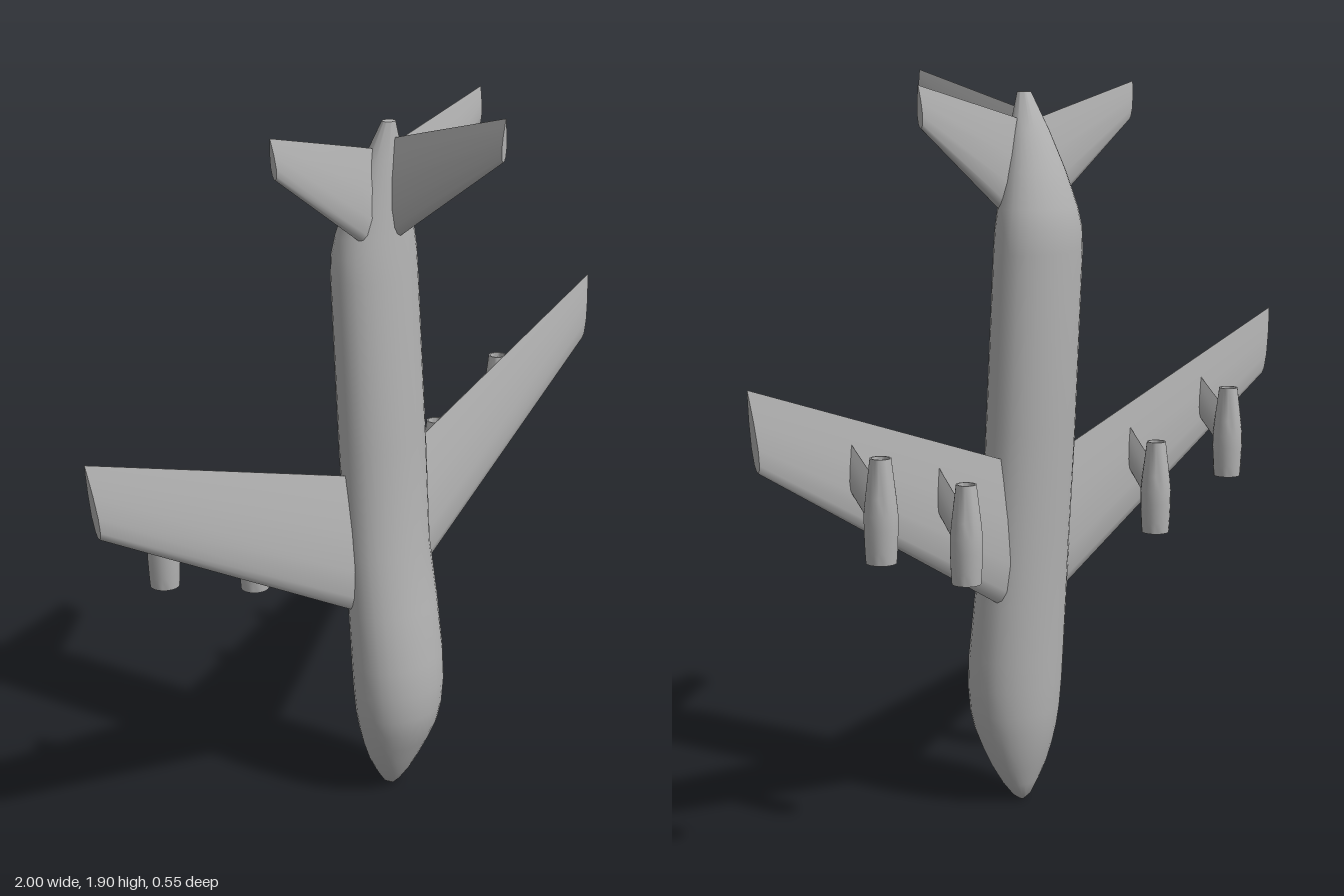
import * as THREE from 'three';
import { toCreasedNormals } from 'three/addons/utils/BufferGeometryUtils.js';

const V = (x, y, z) => new THREE.Vector3(x, y, z);

// Skin a closed solid over rings of equal point count, with flat end caps.
function loft(rings, crease = 0.7) {
  const n = rings[0].length;
  const pts = rings.flat();
  const idx = [];
  for (let r = 0; r < rings.length - 1; r++) {
    for (let i = 0; i < n; i++) {
      const a = r * n + i, b = r * n + (i + 1) % n;
      idx.push(a, b, b + n, a, b + n, a + n);
    }
  }
  // end caps as fans around the ring centres
  [0, rings.length - 1].forEach((r, end) => {
    const c = rings[r].reduce((s, p) => s.add(p), V(0, 0, 0)).divideScalar(n);
    pts.push(c);
    for (let i = 0; i < n; i++) {
      const a = r * n + i, b = r * n + (i + 1) % n;
      if (end) idx.push(a, b, pts.length - 1);
      else idx.push(b, a, pts.length - 1);
    }
  });
  // turn the faces outward if the solid came out inside out
  let volume = 0;
  for (let i = 0; i < idx.length; i += 3) {
    volume += pts[idx[i]].dot(V(0, 0, 0).crossVectors(pts[idx[i + 1]], pts[idx[i + 2]]));
  }
  if (volume < 0) idx.reverse();
  const g = new THREE.BufferGeometry().setFromPoints(pts);
  g.setIndex(idx);
  return toCreasedNormals(g, crease);
}

// Aerofoil ring from leading edge to trailing edge; `half` is the half thickness vector.
const FOIL = [[0.025, 0.42], [0.1, 0.78], [0.3, 1], [0.6, 0.75], [0.85, 0.33]];
function foil(le, te, half) {
  const at = (t, h) => le.clone().lerp(te, t).addScaledVector(half, h);
  return [
    at(0, 0), ...FOIL.map(([t, h]) => at(t, h)),
    at(1, 0.04), at(1, -0.04), ...FOIL.map(([t, h]) => at(t, -h)).reverse(),
  ];
}

export function createModel() {
  const model = new THREE.Group();
  model.name = 'airliner';
  const grey = new THREE.MeshStandardMaterial({ color: 0xb3b3b3 });
  grey.name = 'plainGrey';
  const add = (name, geometry, parent = model) => {
    const mesh = new THREE.Mesh(geometry, grey);
    mesh.name = name;
    parent.add(mesh);
    return mesh;
  };

  // Fuselage, nose down: [y, half width, z of the roof, z of the belly]
  const stations = [
    [0, 0.006, -0.07, -0.08], [0.015, 0.028, -0.055, -0.095], [0.05, 0.055, -0.03, -0.109],
    [0.1, 0.084, -0.003, -0.127], [0.15, 0.105, 0.022, -0.14], [0.2, 0.121, 0.044, -0.15],
    [0.25, 0.133, 0.054, -0.155], [0.32, 0.141, 0.058, -0.159], [0.4, 0.144, 0.052, -0.162],
    [0.55, 0.143, 0.031, -0.169], [0.71, 0.138, 0.004, -0.177], [1.0, 0.137, -0.007, -0.198],
    [1.45, 0.136, -0.033, -0.218], [1.51, 0.132, -0.036, -0.217], [1.56, 0.121, -0.04, -0.207],
    [1.65, 0.093, -0.045, -0.179], [1.75, 0.058, -0.052, -0.138], [1.845, 0.018, -0.06, -0.094],
  ];
  const sides = 28;
  add('fuselage', loft(stations.map(([y, rx, top, belly]) =>
    Array.from({ length: sides }, (_, i) => {
      const a = (i / sides) * Math.PI * 2;
      return V(rx * Math.cos(a), y, (top + belly) / 2 + (top - belly) / 2 * Math.sin(a));
    }))));

  // Tail fin
  add('tailFin', loft([
    foil(V(0, 1.53, -0.1), V(0, 1.79, -0.1), V(0.029, 0, 0)),
    foil(V(0, 1.56, -0.04), V(0, 1.805, -0.06), V(0.026, 0, 0)),
    foil(V(0, 1.79, 0.274), V(0, 1.896, 0.28), V(0.01, 0, 0)),
  ]));

  // Engine nacelle profile with an open inlet and a plug in the nozzle
  const nacelle = [
    [0, 0.06], [0.028, 0.05], [0.032, 0.004], [0.036, 0], [0.038, 0.03], [0.04, 0.08],
    [0.04, 0.115], [0.036, 0.155], [0.025, 0.245], [0.021, 0.245], [0.019, 0.21],
    [0.011, 0.21], [0, 0.24],
  ].map(([r, y]) => new THREE.Vector2(r, y));
  const nacelleGeometry = toCreasedNormals(new THREE.LatheGeometry(nacelle, 20), 0.7);

  for (const [side, s] of [['left', 1], ['right', -1]]) {
    // Wing
    add(side + 'Wing', loft([
      foil(V(s * 0.04, 0.511, -0.1), V(s * 0.04, 0.907, -0.115), V(0, 0, 0.028)),
      foil(V(s * 0.14, 0.567, -0.105), V(s * 0.14, 0.94, -0.118), V(0, 0, 0.026)),
      foil(V(s * 0.97, 1.03, -0.142), V(s, 1.22, -0.145), V(0, 0, 0.011)),
    ]));

    // Tailplane
    add(side + 'Tailplane', loft([
      foil(V(s * 0.02, 1.5, -0.085), V(s * 0.02, 1.775, -0.092), V(0, 0, 0.022)),
      foil(V(s * 0.107, 1.56, -0.087), V(s * 0.107, 1.796, -0.094), V(0, 0, 0.02)),
      foil(V(s * 0.396, 1.765, -0.098), V(s * 0.408, 1.866, -0.101), V(0, 0, 0.009)),
    ]));

    // Engines hung under the wing on swept pylons
    for (const [place, x, y, z] of [['Inner', 0.375, 0.68, -0.22], ['Outer', 0.68, 0.79, -0.234]]) {
      const engine = new THREE.Group();
      engine.name = side + place + 'Engine';
      engine.position.set(s * x, y, z);
      model.add(engine);
      add('nacelle', nacelleGeometry, engine);
      add('pylon', loft([
        foil(V(0, 0.07, 0.015), V(0, 0.19, 0.015), V(0.013, 0, 0)),
        foil(V(0, 0.165, -0.13 - z), V(0, 0.275, -0.13 - z), V(0.013, 0, 0)),
      ]), engine);
    }
  }
  return model;
}
